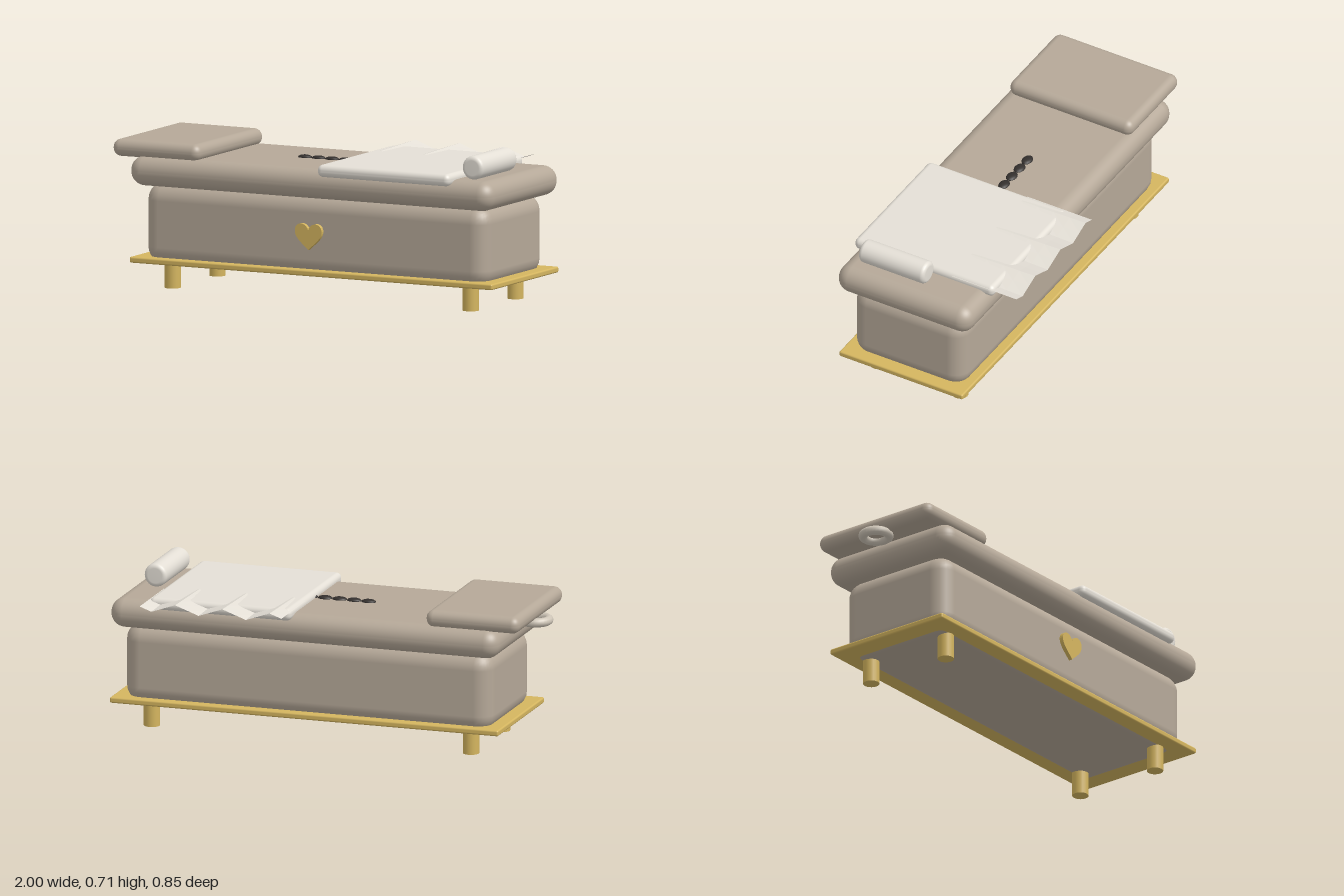
import * as THREE from 'three';
import { RoundedBoxGeometry } from 'three/addons/geometries/RoundedBoxGeometry.js';

const mat = (color, extra = {}) => new THREE.MeshStandardMaterial({ color, ...extra });
const beige = mat(0xb5a898);
const gold = mat(0xd4b55f);
const linen = mat(0xe4dfd6);
const stone = mat(0x332f2d);

export function createModel() {
  const group = new THREE.Group();

  const add = (name, geometry, material, x = 0, y = 0, z = 0) => {
    const mesh = new THREE.Mesh(geometry, material);
    mesh.name = name;
    mesh.position.set(x, y, z);
    group.add(mesh);
    return mesh;
  };

  // Rounded block given by its extents on each axis
  const block = (name, [x0, x1], [y0, y1], [z0, z1], radius, segments, material) =>
    add(name, new RoundedBoxGeometry(x1 - x0, y1 - y0, z1 - z0, segments, radius), material,
      (x0 + x1) / 2, (y0 + y1) / 2, (z0 + z1) / 2);

  block('basePlate', [-0.85, 1.0], [0.115, 0.142], [-0.26, 0.383], 0.008, 3, gold);
  block('body', [-0.80, 0.95], [0.108, 0.48], [-0.23, 0.353], 0.08, 3, beige);
  block('mattress', [-0.85, 1.0], [0.468, 0.603], [-0.287, 0.411], 0.065, 5, beige);
  block('headPillow', [-0.945, -0.50], [0.593, 0.671], [-0.26, 0.38], 0.037, 5, beige);
  block('blanket', [0.125, 0.80], [0.576, 0.632], [-0.302, 0.424], 0.025, 4, linen);

  // Legs
  for (const x of [-0.685, 0.835])
    for (const z of [-0.153, 0.275])
      add('leg', new THREE.CylinderGeometry(0.037, 0.037, 0.12, 20), gold, x, 0.06, z);

  // Face ring under the overhanging pillow
  add('faceRing', new THREE.TorusGeometry(0.059, 0.021, 10, 32).rotateX(Math.PI / 2),
    mat(0xcfc6b8), -0.92, 0.588, 0.06);

  // Row of flat stones along the middle
  for (let i = 0; i < 5; i++)
    add('stone', new THREE.SphereGeometry(1, 16, 10).scale(0.034, 0.012, 0.024), stone,
      -0.125 + i * 0.069, 0.604, 0.058);

  // Pleated sheet hanging out past the back of the blanket
  const width = 0.675, depth = 0.335;
  const sheet = new THREE.PlaneGeometry(width, depth, 12, 4).rotateX(-Math.PI / 2);
  const p = sheet.attributes.position;
  for (let i = 0; i < p.count; i++) {
    const back = 0.5 - p.getZ(i) / depth;
    const wave = Math.sin((p.getX(i) / width + 0.5) * Math.PI * 6);
    p.setY(i, wave * (0.012 + 0.008 * back));
  }
  sheet.computeVertexNormals();
  add('pleatedSheet', sheet, mat(0xe4dfd6, { side: THREE.DoubleSide, flatShading: true }),
    0.4625, 0.622, -0.09 - depth / 2);

  // Rolled towel with softened ends
  const r = 0.054, half = 0.171, soft = 0.02, profile = [new THREE.Vector2(0, -half)];
  for (const end of [-1, 1])
    for (let i = 0; i <= 5; i++) {
      const a = (end < 0 ? i - 5 : i) * Math.PI / 10;
      profile.push(new THREE.Vector2(r - soft + soft * Math.cos(a),
        end * (half - soft) + soft * Math.sin(a)));
    }
  profile.push(new THREE.Vector2(0, half));
  add('rolledTowel', new THREE.LatheGeometry(profile, 28).rotateX(Math.PI / 2), linen,
    0.87, 0.656, 0.16);

  // Heart plaque in front of the body
  const heart = new THREE.Shape();
  heart.moveTo(0, -0.06);
  heart.bezierCurveTo(-0.025, -0.034, -0.068, -0.01, -0.068, 0.026);
  heart.bezierCurveTo(-0.068, 0.068, -0.012, 0.07, 0, 0.03);
  heart.bezierCurveTo(0.012, 0.07, 0.068, 0.068, 0.068, 0.026);
  heart.bezierCurveTo(0.068, -0.01, 0.025, -0.034, 0, -0.06);
  add('heartPlaque', new THREE.ExtrudeGeometry(heart,
    { depth: 0.019, bevelEnabled: false, curveSegments: 12 }), gold, 0.073, 0.298, 0.383);

  return group;
}
